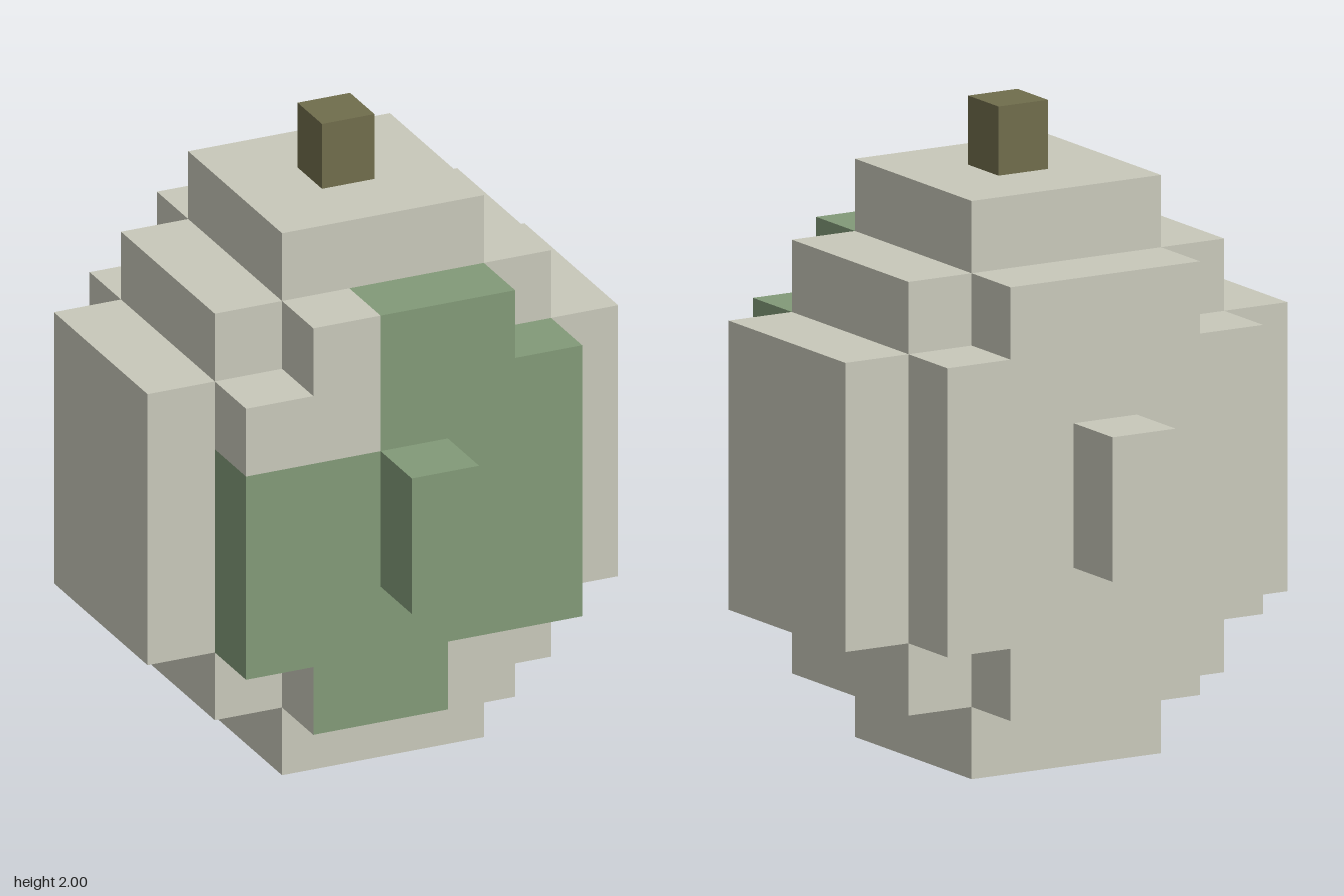
import * as THREE from 'three';

const U = 0.2233; // edge length of one block

export function createModel() {
  const model = new THREE.Group();
  const mat = (name, color) => new THREE.MeshStandardMaterial({ name, color });
  const shell = mat('pale stone', 0xc8c8ba);
  const green = mat('moss green', 0x829a78);
  const brown = mat('stem brown', 0x706d4c);

  // Box given by its extents in block units
  const block = (name, material, [x0, x1], [y0, y1], [z0, z1], parent = model) => {
    const geometry = new THREE.BoxGeometry((x1 - x0) * U, (y1 - y0) * U, (z1 - z0) * U);
    const mesh = new THREE.Mesh(geometry, material);
    mesh.name = name;
    mesh.position.set((x0 + x1) / 2 * U, (y0 + y1) / 2 * U, (z0 + z1) / 2 * U);
    parent.add(mesh);
    return mesh;
  };

  // Stepped body, without its front layer
  block('core', shell, [-1.5, 1.5], [0, 8], [-1.5, 1.5]);
  block('middle', shell, [-2.5, 2.5], [1, 7], [-1.5, 1.5]);
  block('backLayer', shell, [-1.5, 1.5], [1, 7], [-2.5, -1.5]);
  block('backLayerWide', shell, [-2.5, 2.5], [2, 6], [-2.5, -1.5]);
  block('backKnob', shell, [-0.5, 0.5], [3, 5], [-3.5, -2.5]);
  block('leftPlate', shell, [2.5, 3.5], [2, 6], [-1.5, 1.5]);
  block('rightPlate', shell, [-3.5, -2.5], [2, 6], [-1.5, 1.5]);

  // Front layer, pieced together from green and pale blocks
  const front = new THREE.Group();
  front.name = 'frontLayer';
  model.add(front);
  const z = [1.5, 2.5];
  block('greenBand', green, [-2.5, 2.5], [2, 5], z, front);
  block('greenShoulder', green, [-0.5, 2.5], [5, 6], z, front);
  block('greenTop', green, [-0.5, 1.5], [6, 7], z, front);
  block('paleShoulder', shell, [-2.5, -0.5], [5, 6], z, front);
  block('paleTop', shell, [-1.5, -0.5], [6, 7], z, front);
  block('paleFoot', shell, [0.5, 1.5], [1, 2], z, front);
  // Only the front face of this block is green
  block('greenFoot', [shell, shell, shell, shell, green, shell], [-1.5, 0.5], [1, 2], z, front);
  block('frontKnob', green, [-0.5, 0.5], [3, 5], [2.5, 3.5], front);

  // Stem
  block('stem', brown, [-0.39, 0.39], [8, 2 / U], [-0.39, 0.39]);

  return model;
}
